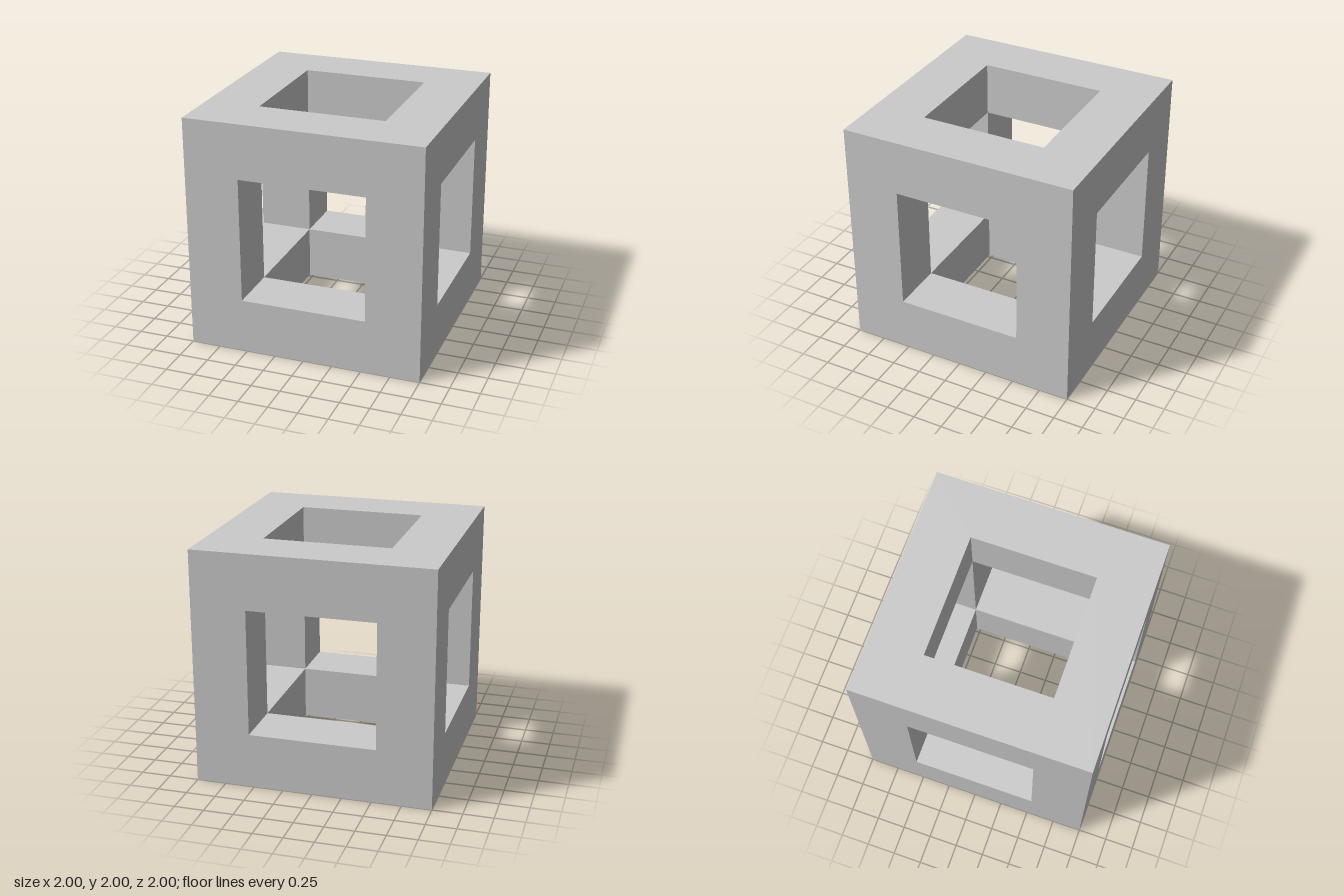
import * as THREE from 'three';
import { mergeGeometries } from 'three/addons/utils/BufferGeometryUtils.js';

const HALF = 1;             // half the cube's edge
const HOLE = 0.535;         // half the window's edge
const BEAM = HALF - HOLE;   // thickness of the frame's beams

function square(Type, r) {
  return new Type([[-r, -r], [r, -r], [r, r], [-r, r]].map(([x, y]) => new THREE.Vector2(x, y)));
}

// One side facing +z: a square face with a window, and the four walls lining the window
function sideGeometry() {
  const face = square(THREE.Shape, HALF);
  face.holes.push(square(THREE.Path, HOLE));
  const parts = [new THREE.ShapeGeometry(face).translate(0, 0, HALF)];
  for (let i = 0; i < 4; i++) {
    parts.push(new THREE.PlaneGeometry(2 * HOLE, BEAM)
      .rotateX(Math.PI / 2)
      .translate(0, HOLE, HALF - BEAM / 2)
      .rotateZ(i * Math.PI / 2));
  }
  return mergeGeometries(parts);
}

export function createModel() {
  const model = new THREE.Group();
  model.name = 'openCubeFrame';
  const material = new THREE.MeshStandardMaterial({ color: 0xcccccc, flatShading: true });
  const geometry = sideGeometry();
  const q = Math.PI / 2;

  // The same side turned to all six directions closes into a hollow cube frame
  const sides = {
    frontSide: [0, 0], leftSide: [0, q], backSide: [0, 2 * q], rightSide: [0, -q],
    topSide: [-q, 0], bottomSide: [q, 0],
  };
  for (const [name, [rx, ry]] of Object.entries(sides)) {
    const side = new THREE.Mesh(geometry, material);
    side.name = name;
    side.rotation.set(rx, ry, 0);
    side.position.y = HALF;
    model.add(side);
  }
  return model;
}
